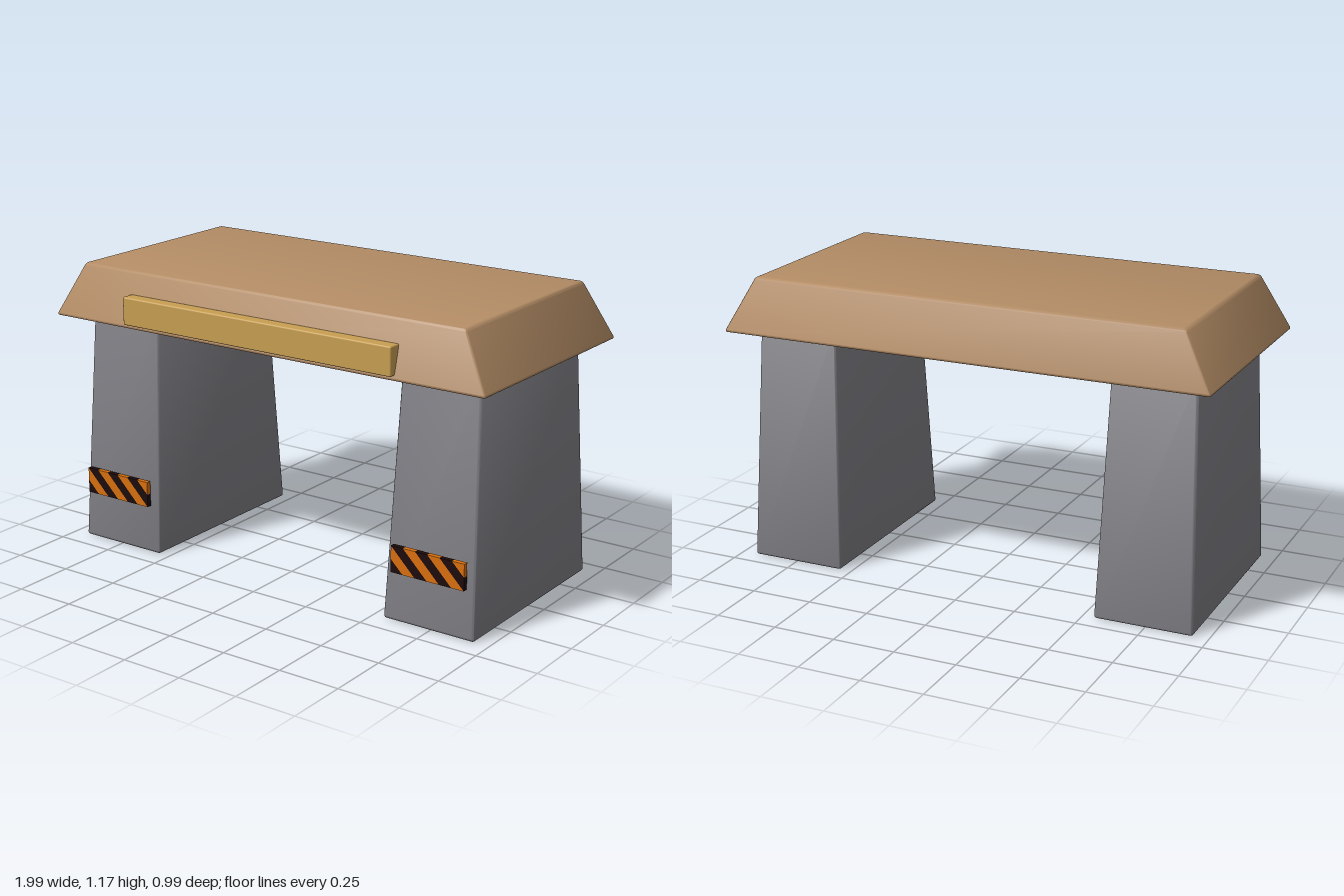
import * as THREE from 'three';
import { toCreasedNormals } from 'three/addons/utils/BufferGeometryUtils.js';
import { RoundedBoxGeometry } from 'three/addons/geometries/RoundedBoxGeometry.js';

function material(name, color) {
  const m = new THREE.MeshStandardMaterial({ color });
  m.name = name;
  return m;
}

// Rounded block whose footprint blends from bottom to top; each is [x0, x1, z0, z1]
function taperedBlock(bottom, top, y0, y1, radius) {
  const h = y1 - y0;
  const geo = new RoundedBoxGeometry(1, h, 1, 3, radius);
  const p = geo.attributes.position;
  const width = bottom[1] - bottom[0], depth = bottom[3] - bottom[2];
  // Keep the rounding even although the unit block is stretched
  const even = (v, size) => {
    const a = Math.abs(v), edge = 0.5 - radius, r = radius / size;
    const e = a > edge ? 0.5 - r + (a - edge) / size : a * (0.5 - r) / edge;
    return Math.sign(v) * e + 0.5;
  };
  for (let i = 0; i < p.count; i++) {
    const t = p.getY(i) / h + 0.5;
    const [x0, x1, z0, z1] = bottom.map((b, k) => THREE.MathUtils.lerp(b, top[k], t));
    p.setXYZ(i,
      THREE.MathUtils.lerp(x0, x1, even(p.getX(i), width)),
      y0 + t * h,
      THREE.MathUtils.lerp(z0, z1, even(p.getZ(i), depth)));
  }
  return toCreasedNormals(geo, 0.7);
}

export function createModel() {
  const concrete = material('concrete grey', 0x7e7d83);
  const brown = material('roof brown', 0xb38c65);
  const tan = material('sign tan', 0xc89f52);
  const orange = material('hazard orange', 0xd9700f);
  const black = material('hazard black', 0x1c0b0b);
  const model = new THREE.Group();

  function add(parent, name, geometry, mat) {
    const mesh = new THREE.Mesh(geometry, mat);
    mesh.name = name;
    parent.add(mesh);
    return mesh;
  }

  // Roof slab with sloping sides
  add(model, 'roof', taperedBlock([-1, 1, -0.497, 0.48], [-0.88, 0.88, -0.44, 0.423], 0.95, 1.172, 0.012), brown);

  // Sign board on the front of the roof
  const sign = add(model, 'signBoard', new RoundedBoxGeometry(1.246, 0.112, 0.056, 2, 0.006), tan);
  sign.position.set(0, 1.026, 0.472);

  // Tapered pillars
  add(model, 'leftPillar', taperedBlock([0.545, 0.94, -0.432, 0.415], [0.575, 0.908, -0.367, 0.35], 0, 0.965, 0.012), concrete);
  add(model, 'rightPillar', taperedBlock([-0.94, -0.545, -0.432, 0.415], [-0.908, -0.575, -0.367, 0.35], 0, 0.965, 0.012), concrete);

  // Hazard plates: diagonal bands that together fill a rectangle
  const step = 0.0525, W = 6 * step, H = 2 * step;
  const low = c => [Math.min(c, W), Math.max(0, c - W)];
  const high = c => [Math.max(0, c - H), Math.min(H, c)];
  for (const [name, x] of [['leftHazardPlate', 0.745], ['rightHazardPlate', -0.745]]) {
    const plate = new THREE.Group();
    plate.name = name;
    for (let k = 0; k < 8; k++) {
      const a = k * step, b = a + step;
      const corners = [low(a), low(b), high(b), high(a)]
        .map(([u, v]) => new THREE.Vector2(u, v))
        .filter((q, i, all) => all.findIndex(o => o.distanceTo(q) < 1e-5) === i);
      const geo = new THREE.ExtrudeGeometry(new THREE.Shape(corners), { depth: 0.02, bevelEnabled: false });
      add(plate, 'hazardStripe' + (k + 1), geo, k % 2 ? orange : black);
    }
    plate.position.set(x - W / 2, 0.2, 0.411);
    model.add(plate);
  }
  return model;
}
